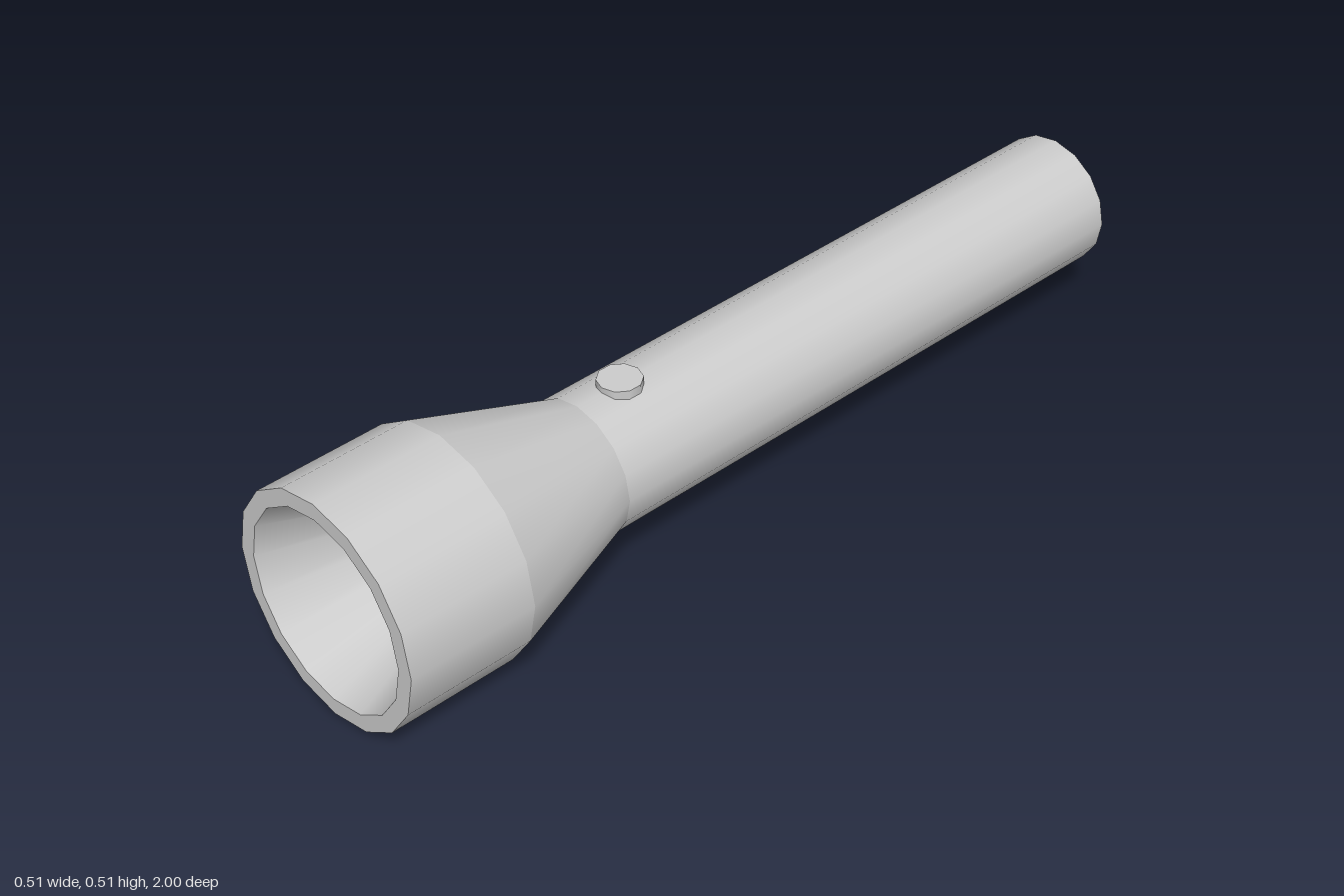
import * as THREE from 'three';

const SIDES = 16;
const AXIS_HEIGHT = 0.255;

export function createModel() {
  const group = new THREE.Group();
  const material = new THREE.MeshStandardMaterial({ color: 0xcccccc });

  const add = (name, geometry, y, z) => {
    const mesh = new THREE.Mesh(geometry, material);
    mesh.name = name;
    mesh.position.set(0, y, z);
    group.add(mesh);
  };

  // One band turned around the z axis; separate bands keep the edges between them sharp.
  const band = (name, [r0, z0], [r1, z1]) => {
    const profile = [new THREE.Vector2(r0, z0), new THREE.Vector2(r1, z1)];
    const geometry = new THREE.LatheGeometry(profile, SIDES).rotateX(Math.PI / 2);
    add(name, geometry, AXIS_HEIGHT, 0);
  };

  // [radius, z] from the tail, along the outside, round the rim and into the reflector
  const tail = [0.147, -1], neck = [0.147, 0.38], shoulder = [0.254, 0.71];
  const rim = [0.254, 1], opening = [0.217, 1], bulbSeat = [0.091, 0.65];
  band('tailCap', [0, -1], tail);
  band('handle', tail, neck);
  band('flaredNeck', neck, shoulder);
  band('head', shoulder, rim);
  band('frontRim', rim, opening);
  band('reflector', opening, bulbSeat);
  band('reflectorFloor', bulbSeat, [0, 0.65]);

  // Switch button on top of the handle, slightly sunk into it
  add('switchButton', new THREE.CylinderGeometry(0.047, 0.047, 0.02, 10), 0.404, 0.27);

  return group;
}
